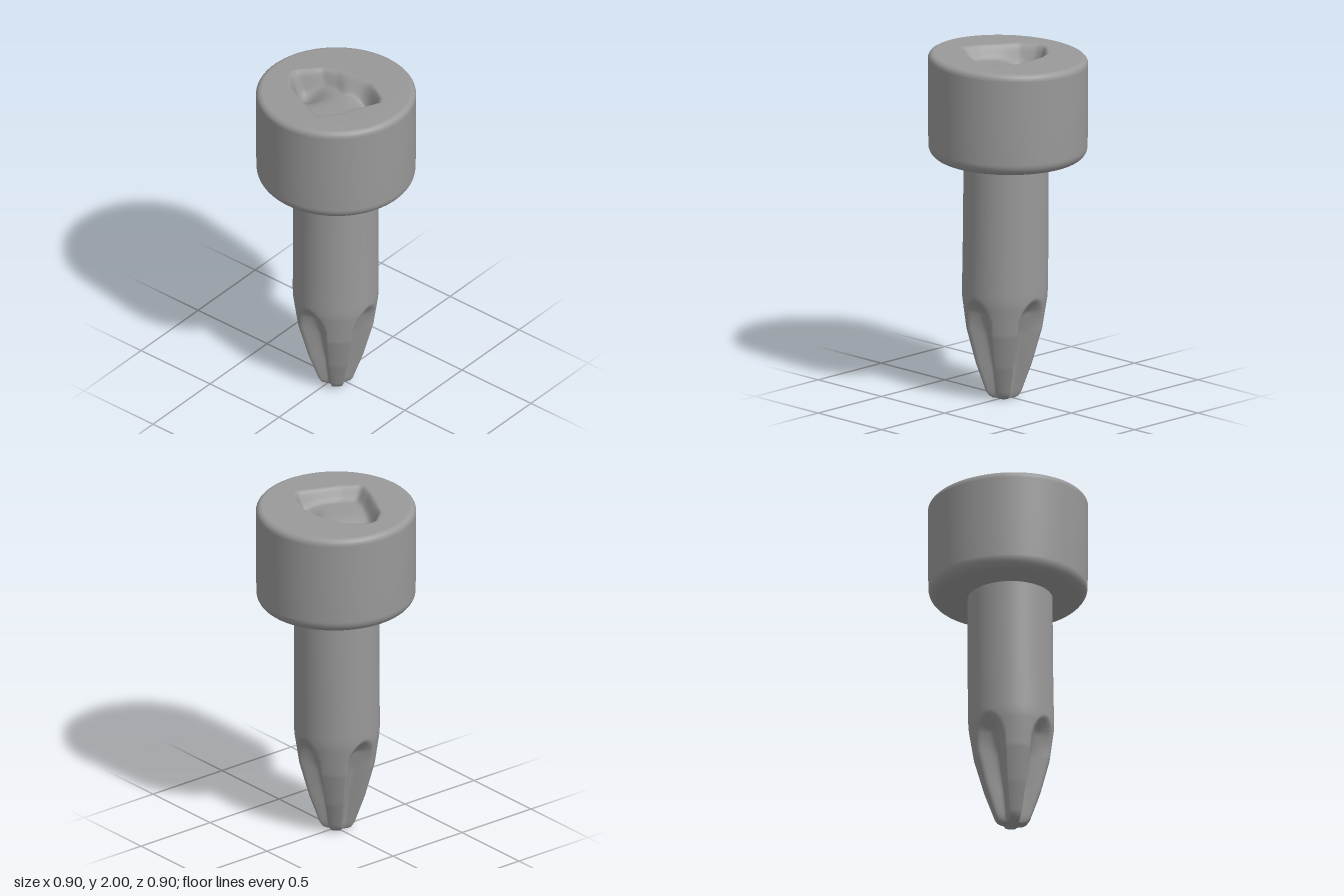
import * as THREE from 'three';

const material = new THREE.MeshStandardMaterial({ color: 0x999999 });
const { lerp, smoothstep } = THREE.MathUtils;

// Closed surface of stacked rings; point(row, angle) gives [x, y, z], rows run from bottom to top.
function ringSurface(name, rows, cols, point) {
  const positions = [], index = [];
  for (let i = 0; i < rows; i++) {
    for (let j = 0; j < cols; j++) positions.push(...point(i, (j / cols) * Math.PI * 2));
  }
  for (let i = 0; i < rows - 1; i++) {
    for (let j = 0; j < cols; j++) {
      const k = (j + 1) % cols;
      const a = i * cols + j, b = i * cols + k, c = b + cols, d = a + cols;
      index.push(a, b, c, a, c, d);
    }
  }
  const geometry = new THREE.BufferGeometry();
  geometry.setAttribute('position', new THREE.Float32BufferAttribute(positions, 3));
  geometry.setIndex(index);
  geometry.computeVertexNormals();
  const mesh = new THREE.Mesh(geometry, material);
  mesh.name = name;
  return mesh;
}

// Linear lookup in a list of [key, value] pairs with rising keys.
function lookup(table, x) {
  if (x <= table[0][0]) return table[0][1];
  for (let i = 1; i < table.length; i++) {
    const [x0, v0] = table[i - 1], [x1, v1] = table[i];
    if (x <= x1) return lerp(v0, v1, (x - x0) / (x1 - x0));
  }
  return table[table.length - 1][1];
}

// Shank with a tapered cross tip: four rounded grooves are pressed into the cone.
const shankRadius = [[0, 0.065], [0.012, 0.085], [0.035, 0.1], [0.2, 0.158], [0.4, 0.212], [0.58, 0.238], [0.62, 0.24], [1.42, 0.238]];
const grooveFloor = [[0, 0.05], [0.03, 0.06], [0.2, 0.085], [0.4, 0.13], [0.52, 0.17], [0.6, 0.235]];

function shankPoint(y, angle) {
  const quarter = Math.PI / 2;
  const off = Math.abs(angle - Math.round(angle / quarter) * quarter);
  let r = lookup(shankRadius, y);
  const arch = Math.sqrt(Math.max(0, 1 - Math.max(0, (y - 0.42) / 0.18) ** 2));
  const halfWidth = 0.44 * arch;
  if (off < halfWidth) {
    const depth = Math.max(0, r - lookup(grooveFloor, y));
    r -= depth * (1 - (off / halfWidth) ** 2);
  }
  const lean = 1 - smoothstep(y, 0, 1.2);
  return [r * Math.sin(angle) - 0.01 - 0.01 * lean, y, r * Math.cos(angle) + 0.006 + 0.008 * lean];
}

function makeShank() {
  const heights = [0, 0.004, 0.012, 0.022, 0.035];
  for (let y = 0.05; y < 0.64; y += 0.0125) heights.push(y);
  heights.push(0.8, 1.0, 1.2, 1.42);
  // The first ring closes the blunt point.
  return ringSurface('shankAndTip', heights.length + 1, 128, (i, angle) =>
    i === 0 ? [-0.02, 0, 0.014] : shankPoint(heights[i - 1], angle));
}

// Worn socket outline in [x, z], seen from above.
const socket = [[-0.05, -0.3], [-0.14, -0.23], [-0.25, 0], [-0.28, 0.1], [-0.18, 0.17], [0.06, 0.28],
  [0.1, 0.25], [0.18, 0.11], [0.18, 0], [0.16, -0.12], [0.12, -0.2], [0.0, -0.3]];

// Distance from the axis to the socket outline along an angle.
function socketRadius(angle) {
  const dx = Math.sin(angle), dz = Math.cos(angle);
  for (let i = 0; i < socket.length; i++) {
    const [ax, az] = socket[i], [bx, bz] = socket[(i + 1) % socket.length];
    const ex = bx - ax, ez = bz - az;
    const det = dx * ez - dz * ex;
    const t = (ax * ez - az * ex) / det;
    const s = (ax * dz - az * dx) / det;
    if (t > 0 && s >= -1e-6 && s <= 1 + 1e-6) return t;
  }
  return 0.2;
}

// Soft round pit centred on (px, pz).
const pit = (x, z, px, pz, size) => Math.exp(-((x - px) ** 2 + (z - pz) ** 2) / size ** 2);

// Socket depth: steep on most sides, a soft slope on the left, with pits at the back and front left.
function socketDepth(x, z, fraction, angle) {
  const wall = lerp(0.25, 0.7, Math.max(0, Math.sin(angle)) ** 4);
  const floor = 0.075 + 0.075 * pit(x, z, -0.03, -0.2, 0.1) + 0.06 * pit(x, z, 0.1, 0.16, 0.07);
  return floor * smoothstep(1 - fraction, 0, wall);
}

// Head: rounded drum, slightly tilted end faces and a sunken socket.
function makeHead() {
  const drum = [[0, 1.39], [0.23, 1.39], [0.36, 1.39]];
  for (let k = 0; k <= 8; k++) {
    const a = (k / 8) * Math.PI / 2;
    drum.push([0.375 + 0.07 * Math.sin(a), 1.46 - 0.07 * Math.cos(a)]);
  }
  drum.push([0.447, 1.6], [0.448, 1.8], [0.448, 1.94]);
  for (let k = 0; k <= 5; k++) {
    const a = (k / 5) * Math.PI / 2;
    drum.push([0.413 + 0.035 * Math.cos(a), 1.945 + 0.035 * Math.sin(a)]);
  }
  const bowlRows = 26;
  return ringSurface('socketHead', drum.length + bowlRows, 120, (i, angle) => {
    const row = i - drum.length;
    const fraction = 1.08 * (1 - row / (bowlRows - 1));
    // Inner rings ease from the worn outline into a circle.
    const r = row < 0 ? drum[i][0] : fraction * lerp(0.2, socketRadius(angle), smoothstep(fraction, 0, 0.9));
    const x = r * Math.sin(angle), z = r * Math.cos(angle);
    const y = row < 0 ? drum[i][1] : 1.98 - socketDepth(x, z, fraction, angle);
    const topTilt = 0.026 * smoothstep(y, 1.5, 1.85) * (z - x);
    const bottomTilt = 0.014 * (1 - smoothstep(y, 1.4, 1.6)) * x;
    return [x, y + topTilt - bottomTilt, z];
  });
}

export function createModel() {
  const model = new THREE.Group();
  model.name = 'socketHeadDriverBit';
  model.add(makeShank(), makeHead());
  return model;
}
